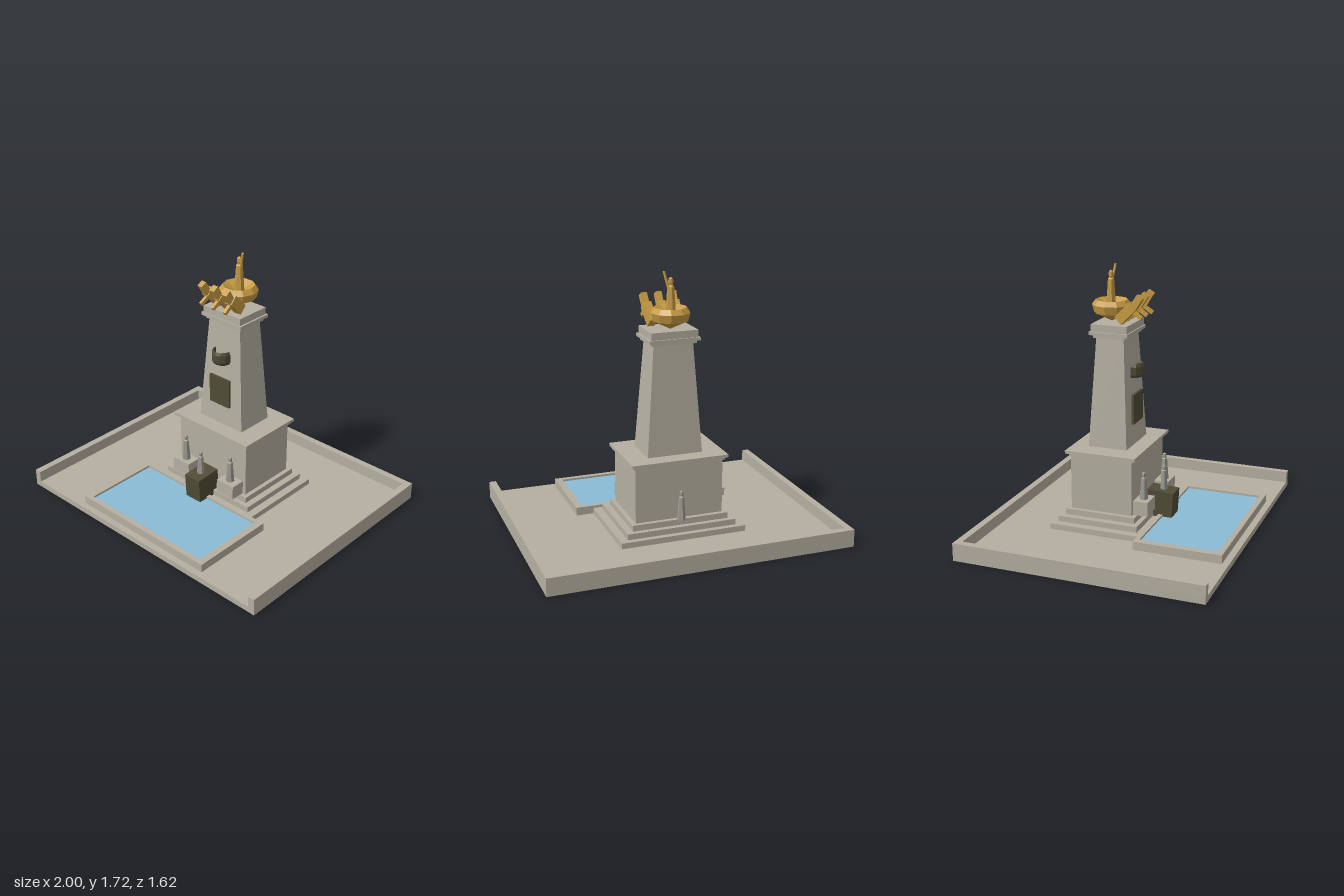
import * as THREE from 'three';

const make = (name, color) => {
  const m = new THREE.MeshStandardMaterial({ color, flatShading: true });
  m.name = name;
  return m;
};

export function createModel() {
  const stone = make('stone', 0xb5afa1);
  const greyStone = make('greyStone', 0x9c9a91);
  const bronze = make('bronze', 0x504c36);
  const gold = make('gold', 0xc69b43);
  const water = make('water', 0x8abbd6);
  bronze.side = gold.side = THREE.DoubleSide;

  const model = new THREE.Group();
  model.name = 'monument';

  const add = (name, geo, mat, x = 0, y = 0, z = 0, parent = model) => {
    const m = new THREE.Mesh(geo, mat);
    m.name = name;
    m.position.set(x, y, z);
    parent.add(m);
    return m;
  };
  // Box given by its ranges along each axis
  const block = (name, mat, x0, x1, y0, y1, z0, z1) =>
    add(name, new THREE.BoxGeometry(x1 - x0, y1 - y0, z1 - z0), mat,
      (x0 + x1) / 2, (y0 + y1) / 2, (z0 + z1) / 2);
  // Box centred on the axis of the column
  const AXIS = -0.117;
  const tier = (name, hx, hz, y0, y1) =>
    block(name, stone, -hx, hx, y0, y1, AXIS - hz, AXIS + hz);

  // Terrace with walls on three sides
  block('terraceFloor', stone, -1, 1, 0, 0.039, -0.809, 0.809);
  block('backWall', stone, -1, 1, 0.039, 0.116, -0.809, -0.763);
  for (const s of [-1, 1]) {
    const w = block('sideWall', stone, -0.023, 0.023, 0.039, 0.116, -0.763, 0.809);
    w.position.x = s * 0.977;
  }

  // Pool
  block('poolRimFront', stone, -0.537, 0.537, 0.039, 0.094, 0.73, 0.766);
  block('poolRimBack', stone, -0.537, 0.537, 0.039, 0.094, 0.19, 0.22);
  block('poolRimLeft', stone, 0.49, 0.537, 0.039, 0.094, 0.22, 0.73);
  block('poolRimRight', stone, -0.537, -0.49, 0.039, 0.094, 0.22, 0.73);
  block('poolWater', water, -0.49, 0.49, 0.039, 0.08, 0.22, 0.73);

  // Steps, plinth and cornice
  tier('lowerStep', 0.42, 0.307, 0.039, 0.077);
  tier('middleStep', 0.367, 0.271, 0.077, 0.115);
  tier('upperStep', 0.323, 0.238, 0.115, 0.154);
  tier('plinth', 0.294, 0.209, 0.154, 0.512);
  tier('corniceLower', 0.307, 0.218, 0.512, 0.531);
  tier('corniceUpper', 0.323, 0.239, 0.531, 0.551);

  // Tapered shaft and capital
  const shaft = new THREE.CylinderGeometry(0.713 * Math.SQRT2, Math.SQRT2, 0.714, 4, 1);
  shaft.rotateY(Math.PI / 4);
  shaft.scale(0.184, 1, 0.131);
  add('shaft', shaft, stone, 0, 0.908, AXIS);
  tier('capitalLower', 0.15, 0.108, 1.265, 1.285);
  tier('capitalMiddle', 0.168, 0.13, 1.285, 1.306);
  tier('capitalUpper', 0.155, 0.122, 1.306, 1.353);

  // Plaque and half-round garland on the front of the shaft
  block('plaque', bronze, -0.085, 0.085, 0.697, 0.895, 0.011, 0.027);
  const ring = [[0.054, -0.03], [0.06, -0.045], [0.069, -0.025], [0.069, 0.025],
    [0.06, 0.045], [0.054, 0.03], [0.054, -0.03]].map(([r, y]) => new THREE.Vector2(r, y));
  add('garland', new THREE.LatheGeometry(ring, 6, -Math.PI / 2, Math.PI), bronze, 0, 1.046, -0.003);

  // Standing figure: six-sided tapered robe, shoulders and head in one profile
  const figure = (name, mat, x, y, z, h, r) => {
    const g = new THREE.Group();
    g.name = name;
    g.position.set(x, y, z);
    model.add(g);
    const profile = [[0, 0], [1, 0], [0.6, 0.78], [0.36, 0.81], [0.45, 0.87], [0.42, 0.96], [0, 1]]
      .map(([u, v]) => new THREE.Vector2(u * r, v * h));
    add('robeAndHead', new THREE.LatheGeometry(profile, 6), mat, 0, 0, 0, g);
    return g;
  };
  for (const s of [-1, 1]) {
    const p = block('figurePedestal', stone, -0.07, 0.07, 0.154, 0.247, 0.08, 0.19);
    p.position.x = s * 0.2;
    figure('sideFigure', greyStone, s * 0.2, 0.247, 0.14, 0.182, 0.029);
  }
  figure('backFigure', greyStone, 0, 0.154, -0.363, 0.198, 0.028);

  // Tilted prow block with a figure on it
  const prow = add('prow', new THREE.BoxGeometry(0.126, 0.19, 0.18), bronze, 0, 0.159, 0.197);
  prow.rotation.x = 0.06;
  figure('prowFigure', greyStone, 0, 0.25, 0.207, 0.165, 0.027);

  // Golden bowl
  const bowl = [[0, 1.353], [0.114, 1.408], [0.128, 1.46], [0.104, 1.492], [0, 1.425]]
    .map(([r, y]) => new THREE.Vector2(r, y));
  add('bowl', new THREE.LatheGeometry(bowl, 10, Math.PI / 2), gold, 0, 0, -0.155);

  // Golden figure with a raised arm
  const top = figure('topFigure', gold, 0, 1.415, -0.16, 0.265, 0.036);
  const arm = add('raisedArm', new THREE.CylinderGeometry(0.008, 0.009, 0.12, 6), gold,
    0.026, 0.242, 0.008, top);
  arm.rotation.set(0.14, 0, -0.23);

  // Three rearing horses at the front of the bowl
  for (const s of [-1, 0, 1]) {
    const horse = new THREE.Group();
    horse.name = 'horse';
    horse.position.set(s * 0.092, 1.431, -0.015);
    horse.rotation.y = s * 0.09;
    model.add(horse);
    const part = (name, w, h, len, y, z, tilt) => {
      const m = add(name, new THREE.BoxGeometry(w, h, len), gold, 0, y, z, horse);
      m.rotation.x = -tilt;
    };
    part('horseBody', 0.052, 0.066, 0.142, -0.003, -0.005, 0.79);
    part('horseNeck', 0.04, 0.045, 0.11, 0.062, 0.063, 1.0);
    part('horseForeleg', 0.022, 0.024, 0.075, -0.008, 0.07, -0.6);
  }

  return model;
}
